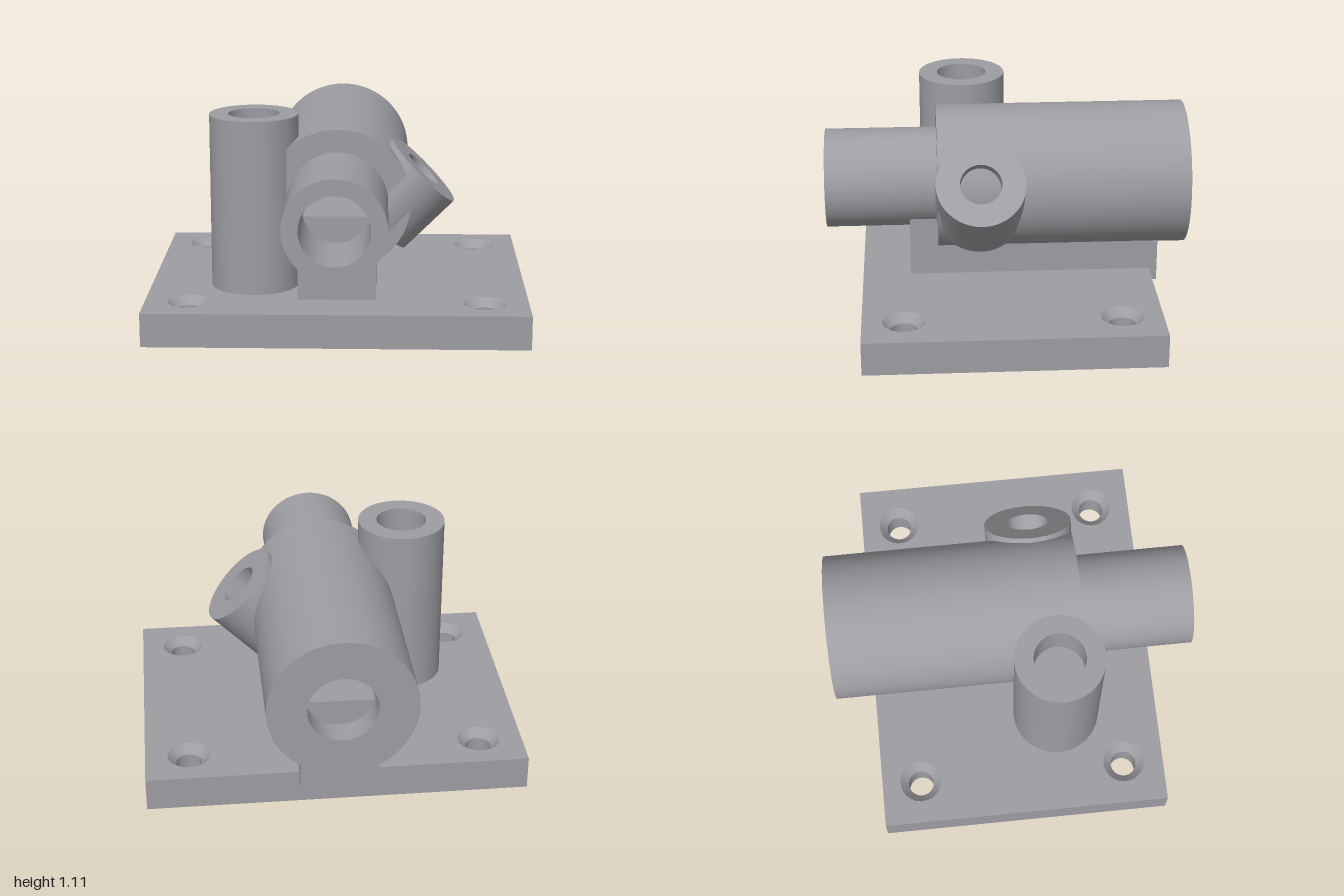
import * as THREE from 'three';
import { toCreasedNormals } from 'three/addons/utils/BufferGeometryUtils.js';

const SEGMENTS = 64;

export function createModel() {
  const model = new THREE.Group();
  model.name = 'pipeMount';
  const grey = new THREE.MeshStandardMaterial({ color: 0x9d9da2 });
  grey.name = 'grey';

  const add = (name, geometry, x = 0, y = 0, z = 0) => {
    const mesh = new THREE.Mesh(geometry, grey);
    mesh.name = name;
    mesh.position.set(x, y, z);
    model.add(mesh);
    return mesh;
  };

  // Turned part from [radius, height] pairs: up the outside, down the inside
  const turned = (profile) => toCreasedNormals(
    new THREE.LatheGeometry(profile.map(([r, y]) => new THREE.Vector2(r, y)), SEGMENTS), 0.5);

  // Base plate with four screw holes
  const thickness = 0.18, sink = 0.112, bore = 0.068;
  const corners = [];
  for (const x of [-0.77, 0.77]) for (const z of [-0.565, 0.56]) corners.push([x, z]);
  const outline = new THREE.Shape();
  outline.moveTo(-1, -0.777).lineTo(1, -0.777).lineTo(1, 0.777).lineTo(-1, 0.777).closePath();
  for (const [x, z] of corners) {
    outline.holes.push(new THREE.Path().absarc(x, -z, sink, 0, Math.PI * 2, true));
  }
  const plate = new THREE.ExtrudeGeometry(outline, {
    depth: thickness, bevelEnabled: false, curveSegments: SEGMENTS,
  });
  plate.rotateX(-Math.PI / 2);
  add('basePlate', toCreasedNormals(plate, 0.5));

  // Countersunk collar in each screw hole
  const collar = turned([[sink, thickness], [bore, thickness - 0.045], [bore, 0], [sink, 0]]);
  for (const [x, z] of corners) add('screwHole', collar, x, 0, z);

  // Pedestal, running up into the lower part of the bore
  add('pedestal', new THREE.BoxGeometry(0.41, 0.52, 1.34), 0, 0.37, -0.15);

  // Stepped horizontal barrel with a through bore
  const barrel = turned([
    [0.18, -0.965], [0.385, -0.965], [0.385, 0.37], [0.265, 0.37],
    [0.265, 0.965], [0.18, 0.965], [0.18, -0.965],
  ]);
  barrel.rotateX(Math.PI / 2);
  add('barrel', barrel, 0, 0.67, 0);

  // Upright post with a blind socket
  add('post', turned([
    [0.235, 0.1], [0.235, 1.11], [0.135, 1.11], [0.135, 0.9], [0, 0.9],
  ]), -0.445, 0, 0.217);

  // Side boss leaning outward at 45 degrees
  const boss = add('sideBoss', turned([
    [0.11, 0], [0.235, 0], [0.235, 0.365], [0.11, 0.365], [0.11, 0],
  ]), 0.195, 0.54, 0.147);
  boss.rotation.z = -Math.PI / 4;

  return model;
}
